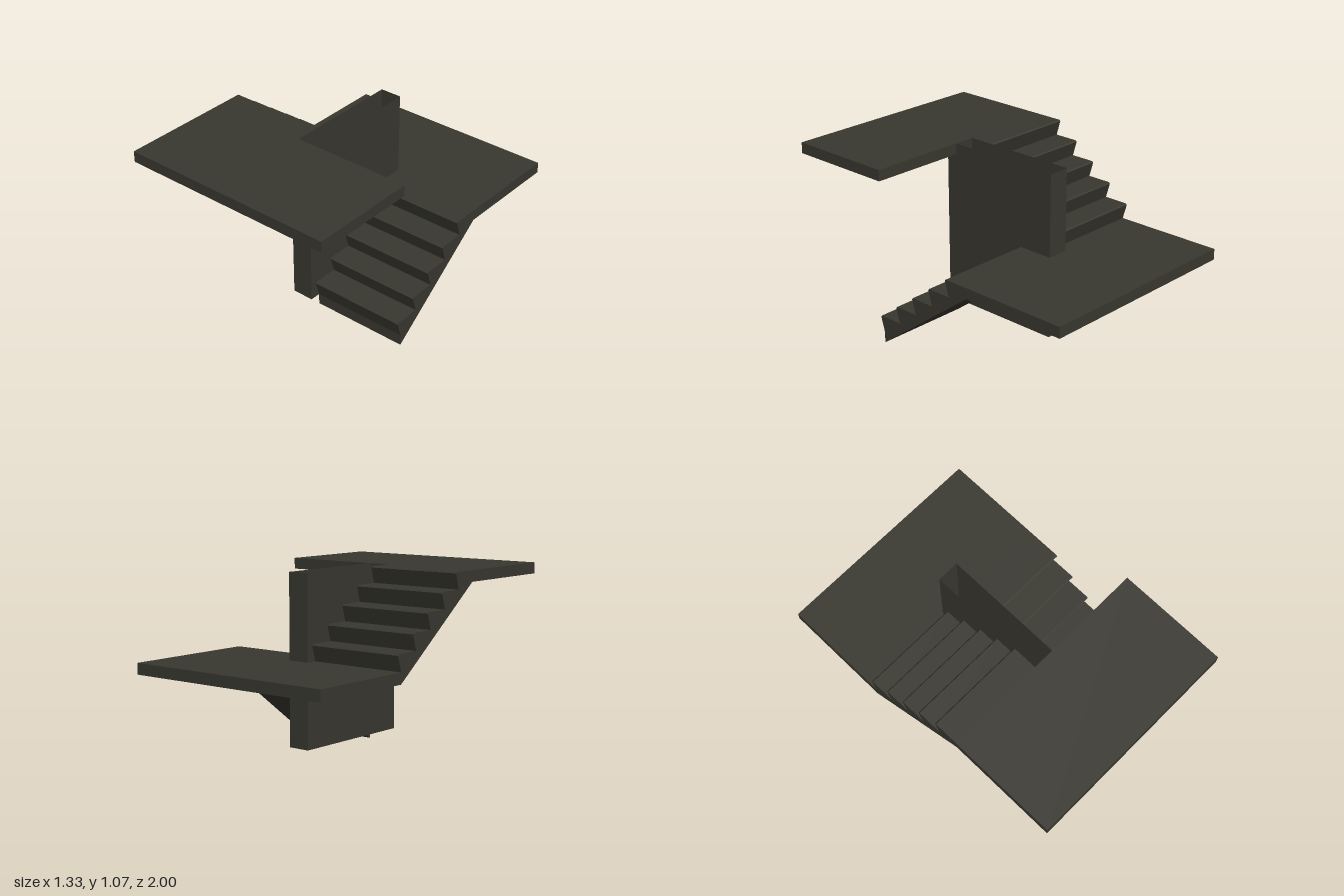
import * as THREE from 'three';

const STEPS = 5, RISE = 0.1, RUN = 2 / 15, NOSE = 0.027;
const SLAB = 1 / 15, END = 1 / 3, HALF_WIDTH = 2 / 3, HALF_WALL = 1 / 15;

// Side profile of one flight with slanted risers and bevelled nosings
function flightGeometry() {
  const s = new THREE.Shape();
  s.moveTo(-END, 0);
  s.lineTo(END, 0.5);
  s.lineTo(END, 0.5 + SLAB);
  for (let k = STEPS - 1; k >= 0; k--) {
    const base = -END + k * RUN, y = SLAB + k * RISE;
    s.lineTo(base - NOSE + 0.007, y + RISE);
    s.lineTo(base - NOSE, y + RISE - 0.008);
    s.lineTo(base, y);
  }
  const g = new THREE.ExtrudeGeometry(s, { depth: HALF_WIDTH - HALF_WALL, bevelEnabled: false });
  g.rotateY(Math.PI / 2);
  g.translate(HALF_WALL, 0, 0);
  return g;
}

export function createModel() {
  const model = new THREE.Group();
  model.name = 'staircase';
  const concrete = new THREE.MeshStandardMaterial({ color: 0x38372f, side: THREE.DoubleSide });
  concrete.name = 'dark concrete';

  const flight = flightGeometry();
  const landing = new THREE.BoxGeometry(2 * HALF_WIDTH, SLAB, 1 - END);
  landing.translate(0, 0.5 + SLAB / 2, -(1 + END) / 2);

  // Two identical storeys halves, the upper one turned half way round
  ['lower', 'upper'].forEach((level, i) => {
    const half = new THREE.Group();
    half.name = level + 'Half';
    const stairs = new THREE.Mesh(flight, concrete);
    stairs.name = level + 'Flight';
    const slab = new THREE.Mesh(landing, concrete);
    slab.name = level + 'Landing';
    half.add(stairs, slab);
    half.position.y = i * 0.5;
    half.rotation.y = i * Math.PI;
    model.add(half);
  });

  // Hollow dividing wall, open at top and bottom
  const outline = [[-1, -1], [-1, 1], [1, 1], [1, -1]].map(([x, z]) => [x * HALF_WALL, z * 0.4]);
  const wall = new THREE.Group();
  wall.name = 'dividingWall';
  outline.forEach(([x, z], i) => {
    const [x2, z2] = outline[(i + 1) % 4];
    const panel = new THREE.Mesh(new THREE.PlaneGeometry(Math.hypot(x2 - x, z2 - z), 1), concrete);
    panel.name = 'wallPanel' + (i + 1);
    panel.position.set((x + x2) / 2, SLAB + 0.5, (z + z2) / 2);
    panel.rotation.y = Math.atan2(x + x2, z + z2);
    wall.add(panel);
  });
  model.add(wall);
  return model;
}
